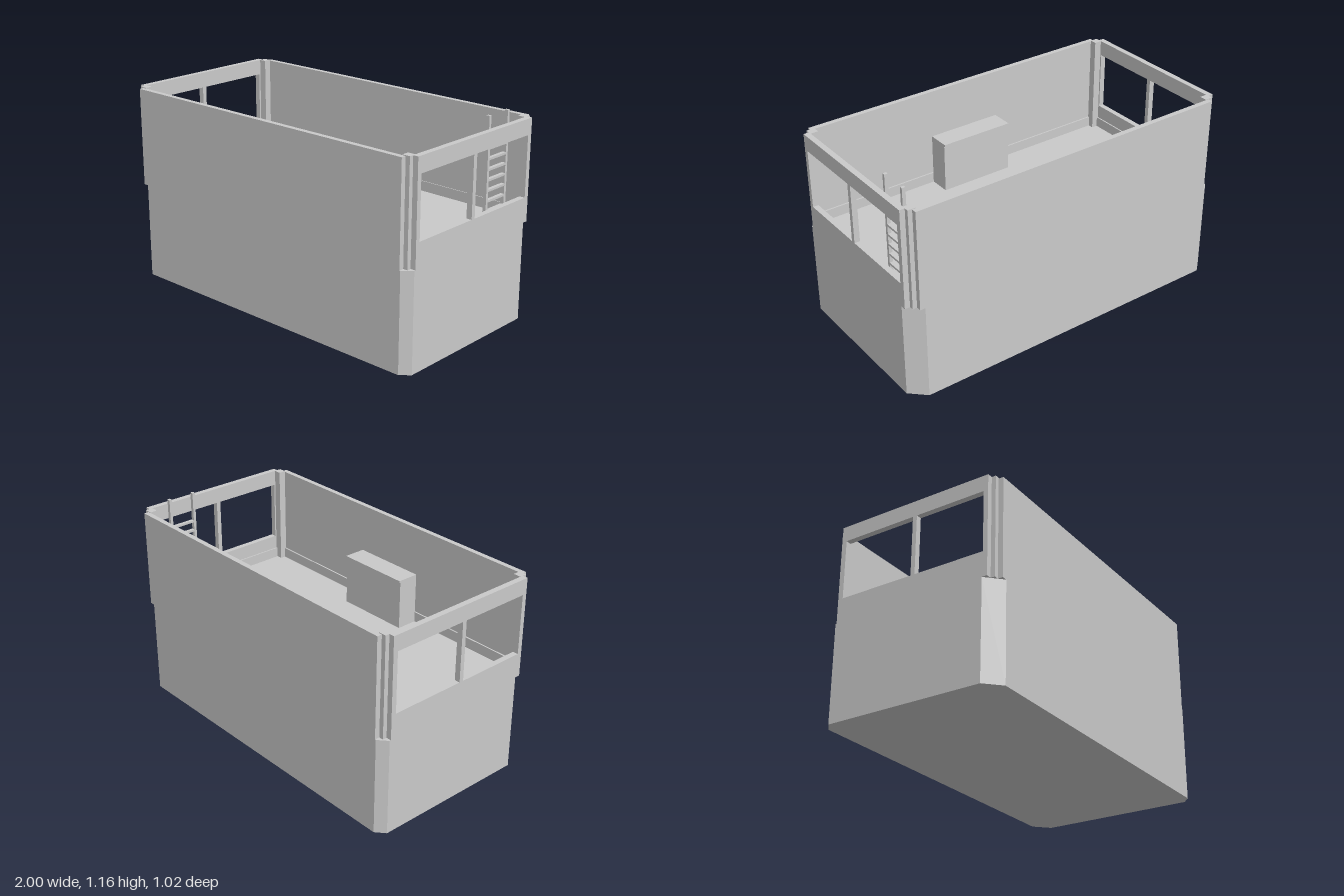
import * as THREE from 'three';

export function createModel() {
  const model = new THREE.Group();
  const grey = new THREE.MeshStandardMaterial({ color: 0xcacaca });
  grey.name = 'plain grey';

  const add = (name, geometry, parent = model) => {
    const mesh = new THREE.Mesh(geometry, grey);
    mesh.name = name;
    parent.add(mesh);
    return mesh;
  };
  // box given by its limits on each axis
  const block = (name, x0, x1, y0, y1, z0, z1, parent) => {
    const g = new THREE.BoxGeometry(x1 - x0, y1 - y0, z1 - z0);
    g.translate((x0 + x1) / 2, (y0 + y1) / 2, (z0 + z1) / 2);
    return add(name, g, parent);
  };

  const W = 1, D = 0.512, TOP = 1.11;
  const FLOOR = 0.547, SKIRT = 0.605, SILL = 0.685, HEAD = 1.022;
  const IN_X = 0.968, IN_Z = 0.483;

  // solid lower body, its top is the floor: two narrow and two wide corner chamfers
  const outline = [
    [0.95, D], [W, 0.468], [W, -0.43], [0.915, -D],
    [-0.95, -D], [-W, -0.468], [-W, 0.43], [-0.915, D],
  ].map(([x, z]) => new THREE.Vector2(x, -z));
  const body = new THREE.ExtrudeGeometry(new THREE.Shape(outline), { depth: FLOOR, bevelEnabled: false });
  body.rotateX(-Math.PI / 2);
  add('lowerBodyAndFloor', body);

  // long front and back walls
  block('frontWall', -0.945, 0.945, FLOOR, TOP - 0.004, IN_Z, D);
  block('backWall', -0.945, 0.945, FLOOR, TOP - 0.004, -D, -IN_Z);

  // low skirting around the floor
  block('frontSkirting', -0.93, 0.93, FLOOR, SKIRT, 0.474, IN_Z);
  block('backSkirting', -0.93, 0.93, FLOOR, SKIRT, -IN_Z, -0.478);
  block('leftSkirting', 0.96, IN_X, FLOOR, SKIRT, -0.445, 0.445);
  block('rightSkirting', -IN_X, -0.96, FLOOR, SKIRT, -0.445, 0.445);

  // end walls, each with two window openings
  const rect = (z0, z1, y0, y1, Type) => {
    const p = new Type();
    p.moveTo(z0, y0);
    p.lineTo(z1, y0);
    p.lineTo(z1, y1);
    p.lineTo(z0, y1);
    p.closePath();
    return p;
  };
  const endShape = rect(-0.46, 0.46, FLOOR, TOP, THREE.Shape);
  endShape.holes.push(
    rect(-0.432, 0.002, SILL, HEAD, THREE.Path),
    rect(0.027, 0.434, SILL, HEAD, THREE.Path),
  );
  for (const side of [1, -1]) {
    const wall = new THREE.ExtrudeGeometry(endShape, { depth: W - IN_X, bevelEnabled: false });
    wall.rotateY(-Math.PI / 2); // shape x becomes z, thickness runs towards -x
    wall.translate(side > 0 ? W : -IN_X, 0, 0);
    add(side > 0 ? 'leftEndWall' : 'rightEndWall', wall);

    // stepped corner posts
    for (const end of [1, -1]) {
      const xs = [0.925 * side, 0.97 * side].sort((a, b) => a - b);
      const zs = [0.442 * end, 0.484 * end].sort((a, b) => a - b);
      block('cornerPost', xs[0], xs[1], FLOOR, TOP, zs[0], zs[1]);
    }
  }

  // cabinet against the front wall, with a small lip along its top
  const profile = [
    [0.353, FLOOR], [0.474, FLOOR], [0.474, 0.838], [0.346, 0.838], [0.346, 0.826], [0.353, 0.826],
  ].map(([z, y]) => new THREE.Vector2(z, y));
  const cabinet = new THREE.ExtrudeGeometry(new THREE.Shape(profile), { depth: 0.434, bevelEnabled: false });
  cabinet.rotateY(-Math.PI / 2);
  cabinet.translate(0.217, 0, 0);
  add('cabinet', cabinet);

  // ladder beside the left end wall
  const ladder = new THREE.Group();
  ladder.name = 'ladder';
  model.add(ladder);
  for (const z of [-0.202, -0.359]) {
    block('ladderRail', 0.905, 0.925, FLOOR, 1.157, z - 0.008, z + 0.008, ladder);
  }
  for (let i = 0; i < 8; i++) {
    const y = 0.985 - i * 0.0565;
    block('ladderRung', 0.905, 0.925, y - 0.006, y + 0.006, -0.355, -0.206, ladder);
  }

  return model;
}
